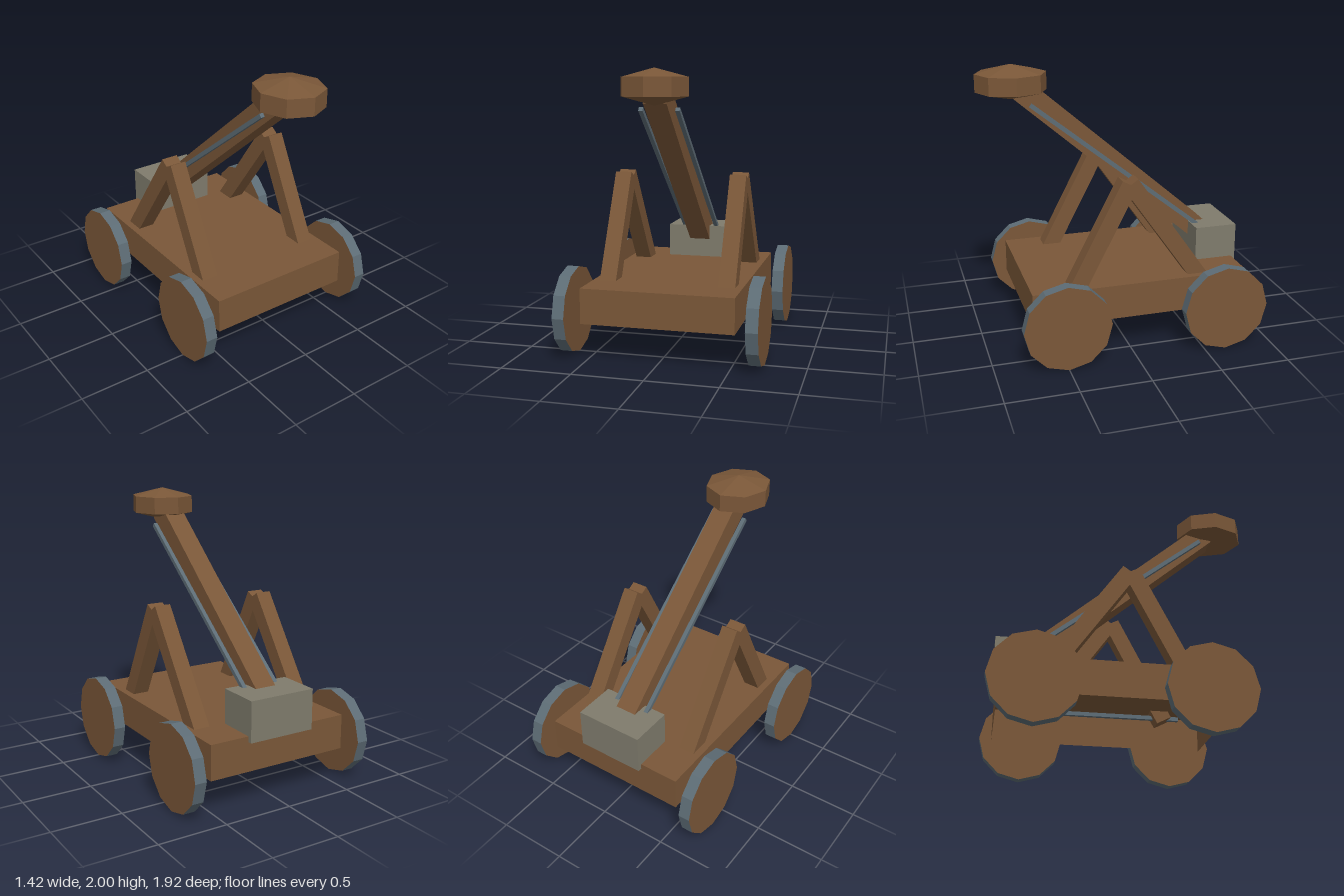
import * as THREE from 'three';

export function createModel() {
  const model = new THREE.Group();
  model.name = 'catapult';

  const paint = (name, color) => {
    const m = new THREE.MeshStandardMaterial({ color, flatShading: true });
    m.name = name;
    return m;
  };
  const wood = paint('wood', 0x7a5738);
  const iron = paint('iron', 0x5d6c75);
  const stone = paint('stone', 0x7f7b6c);
  wood.side = THREE.DoubleSide; // the deck is an open shell

  const add = (name, geometry, material, x, y, z) => {
    const mesh = new THREE.Mesh(geometry, material);
    mesh.name = name;
    mesh.position.set(x, y, z);
    model.add(mesh);
    return mesh;
  };

  // Square beam lying in a plane of constant x, from [y, z] to [y, z]
  const beam = (name, material, x, width, [y0, z0], [y1, z1]) => {
    const length = Math.hypot(y1 - y0, z1 - z0);
    const mesh = add(name, new THREE.BoxGeometry(width, length, width), material,
      x, (y0 + y1) / 2, (z0 + z1) / 2);
    mesh.rotation.x = Math.atan2(z1 - z0, y1 - y0);
    return mesh;
  };

  // Hollow deck: a box without its underside
  const deck = new THREE.BoxGeometry(1.08, 0.25, 1.58);
  const index = Array.from(deck.index.array);
  index.splice(18, 6);
  deck.setIndex(index);
  deck.clearGroups();
  add('deck', deck, wood, 0, 0.385, -0.08);

  // Counterweight and throwing arm
  add('counterweight', new THREE.BoxGeometry(0.5, 0.29, 0.315), stone, 0, 0.615, -0.743);
  beam('throwingArm', wood, 0, 0.16, [0.616, -0.75], [1.83, 0.66]);

  // Faceted cup at the arm's tip, slightly longer than wide
  const cupProfile = [[0, 1.755], [0.25, 1.815], [0.25, 1.94], [0, 2]]
    .map(([r, y]) => new THREE.Vector2(r, y));
  const cup = add('cup', new THREE.LatheGeometry(cupProfile, 8), wood, 0, 0, 0.715);
  cup.scale.x = 0.92;

  for (const side of [1, -1]) {
    const label = side > 0 ? 'left' : 'right';

    // A-frame legs pass through the deck, with a tie rod underneath
    beam(label + 'FrontLeg', wood, side * 0.43, 0.12, [0.44, 0.41], [1.222, 0.004]);
    beam(label + 'BackLeg', wood, side * 0.43, 0.12, [0.44, -0.555], [1.222, -0.004]);
    beam(label + 'TieRod', iron, side * 0.43, 0.03, [0.47, 0.53], [0.47, -0.7]);

    // Iron rod beside the arm
    beam(label + 'ArmRod', iron, side * 0.127, 0.03, [0.665, -0.74], [1.73, 0.605]);

    // Wheels: wooden discs with iron rims
    for (const [end, z] of [['Front', 0.5], ['Back', -0.65]]) {
      const wheel = add(label + end + 'Wheel',
        new THREE.CylinderGeometry(0.308, 0.308, 0.085, 12), [iron, wood, wood],
        side * 0.667, 0.31, z);
      wheel.rotation.z = Math.PI / 2;
    }
  }
  return model;
}
